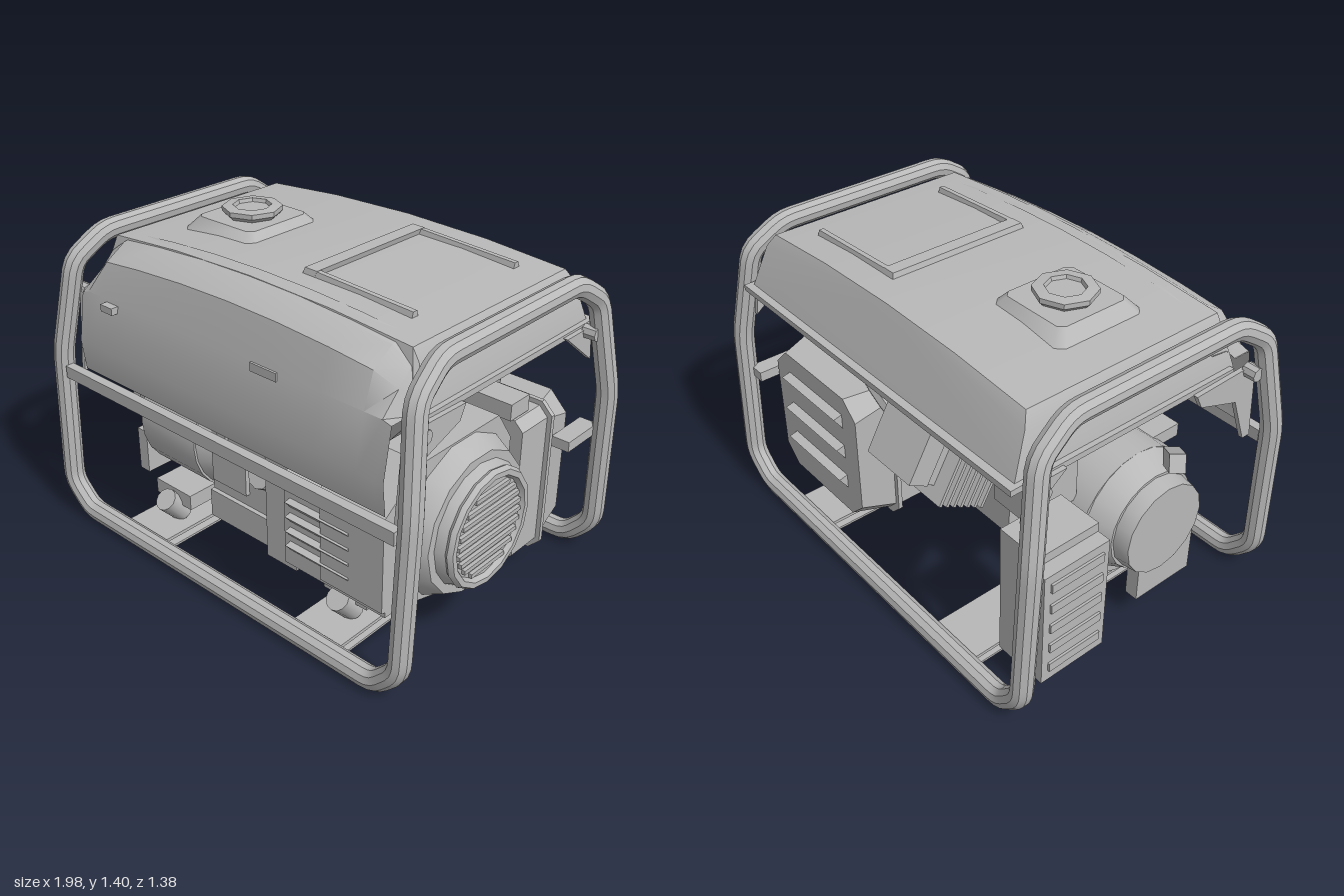
import * as THREE from 'three';
import { toCreasedNormals } from 'three/addons/utils/BufferGeometryUtils.js';
import { ConvexGeometry } from 'three/addons/geometries/ConvexGeometry.js';

const grey = new THREE.MeshStandardMaterial({ color: 0xb8b8b8, side: THREE.DoubleSide });
grey.name = 'grey metal';

export function createModel() {
  const model = new THREE.Group();
  const V = (x, y, z) => new THREE.Vector3(x, y, z);

  function add(name, geo, parent = model) {
    const m = new THREE.Mesh(toCreasedNormals(geo, 0.6), grey);
    m.name = name;
    parent.add(m);
    return m;
  }
  // box given by its min and max on each axis
  function box(name, x0, x1, y0, y1, z0, z1, parent) {
    const g = new THREE.BoxGeometry(x1 - x0, y1 - y0, z1 - z0);
    g.translate((x0 + x1) / 2, (y0 + y1) / 2, (z0 + z1) / 2);
    return add(name, g, parent);
  }
  // cylinder lying along x
  function drum(name, x0, x1, r0, r1, y, z, sides = 20) {
    const g = new THREE.CylinderGeometry(r1, r0, x1 - x0, sides);
    g.rotateZ(-Math.PI / 2).translate((x0 + x1) / 2, y, z);
    return add(name, g);
  }
  // outline in (z, y), extruded along x
  function slab(name, pts, x0, x1) {
    const s = new THREE.Shape(pts.map(([z, y]) => new THREE.Vector2(-z, y)));
    const g = new THREE.ExtrudeGeometry(s, { depth: x1 - x0, bevelEnabled: false });
    g.rotateY(Math.PI / 2).translate(x0, 0, 0);
    return add(name, g);
  }
  const hull = (name, pts) => add(name, new ConvexGeometry(pts.map(p => V(...p))));
  // sheet between a grid of points
  function sheet(name, rows) {
    const n = rows[0].length, idx = [];
    for (let i = 0; i < rows.length - 1; i++) for (let j = 0; j < n - 1; j++) {
      const a = i * n + j, b = a + n;
      idx.push(a, a + 1, b, b, a + 1, b + 1);
    }
    const g = new THREE.BufferGeometry();
    g.setAttribute('position', new THREE.Float32BufferAttribute(rows.flat(2), 3));
    g.setIndex(idx);
    g.computeVertexNormals();
    return add(name, g);
  }

  // Tube frame: one closed loop with rounded bends
  const quarter = [[0.83, 0.055, 0.64], [0.94, 0.17, 0.645], [0.945, 0.8, 0.62], [0.895, 1.2, 0.555], [0.875, 1.295, 0.41]];
  const flip = (sx, sz) => quarter.map(([x, y, z]) => V(x * sx, y, z * sz));
  const loop = [...flip(1, 1), ...flip(1, -1).reverse(), ...flip(-1, -1), ...flip(-1, 1).reverse()];
  const path = new THREE.CurvePath();
  const toward = (a, b, d) => a.clone().add(b.clone().sub(a).setLength(d));
  loop.forEach((p, i) => {
    const prev = loop[(i + loop.length - 1) % loop.length], next = loop[(i + 1) % loop.length];
    const out = toward(p, next, 0.05);
    path.add(new THREE.QuadraticBezierCurve3(toward(p, prev, 0.05), p, out));
    path.add(new THREE.LineCurve3(out, toward(next, p, 0.05)));
  });
  add('tubeFrame', new THREE.TubeGeometry(path, 320, 0.045, 10, true));
  box('frontRail', -0.9, 0.9, 0.69, 0.745, 0.61, 0.65);

  // Floor channels with rubber mounts
  for (const x of [-0.5, 0.5]) {
    box('channelTop', x - 0.12, x + 0.12, 0.055, 0.07, -0.63, 0.63);
    for (const s of [-1, 1]) {
      box('channelWall', x + s * 0.07 - 0.008, x + s * 0.07 + 0.008, 0.015, 0.06, -0.63, 0.63);
      box('channelLip', x + s * 0.095 - 0.025, x + s * 0.095 + 0.025, 0.012, 0.022, -0.63, 0.63);
    }
    for (const [z, tilt] of [[0.46, 0.75], [-0.07, -0.75]]) {
      const m = add('rubberMount', new THREE.CylinderGeometry(0.05, 0.05, 0.13, 12));
      m.position.set(x + 0.02, 0.14, z);
      m.rotation.x = tilt;
    }
    box('mountBeam', x - 0.1, x + 0.12, 0.15, 0.22, -0.1, 0.45);
  }

  // Fuel tank: crowned upper shell, lower pan and rim
  const crown = x => 1.34 - 0.065 * x * x;
  const shell = [-0.77, -0.4, 0, 0.4, 0.77].flatMap(x => [[x, crown(x), 0.42], [x, crown(x), -0.5]]);
  for (const s of [-1, 1]) shell.push([s * 0.83, 1.07, 0.48], [s * 0.83, 1.07, -0.6], [s * 0.8, 1.25, 0.42], [s * 0.8, 1.25, -0.53]);
  hull('tankUpper', shell);
  box('tankRim', -0.85, 0.85, 1.055, 1.08, -0.63, 0.46);
  const pan = [];
  for (const s of [-1, 1]) pan.push([s * 0.81, 1.06, 0.44], [s * 0.81, 1.06, -0.57], [s * 0.72, 1.0, -0.5],
    [s * 0.66, 0.89, 0.39], [s * 0.66, 0.89, -0.12]);
  hull('tankPan', pan);

  // Filler pad and cap
  const pad = [];
  for (const [r, y] of [[0.2, 1.315], [0.155, 1.368]]) for (const [a, b] of [[1, 0.85], [0.85, 1]])
    for (const sx of [-1, 1]) for (const sz of [-1, 1]) pad.push([-0.41 + sx * a * r, y, sz * b * r * 1.05]);
  hull('fillerPad', pad);
  const cap = add('fuelCap', new THREE.LatheGeometry([[0, 1.36], [0.1, 1.36], [0.125, 1.385], [0.125, 1.405], [0.08, 1.41],
    [0.075, 1.395], [0, 1.395]].map(p => new THREE.Vector2(...p)), 8));
  cap.position.set(-0.41, 0, 0);

  // Raised border on the tank top
  const bar = (name, x0, x1, z0, z1) => hull(name, [x0, x1].flatMap(x => [z0, z1].flatMap(z =>
    [[x, crown(x) - 0.02, z], [x + (x < 0.3 ? 0.01 : 0), crown(x) + 0.02, z + (z === z0 ? 0.012 : -0.012)]])));
  bar('borderSide', 0.12, 0.18, -0.385, 0.27);
  bar('borderBack', 0.12, 0.64, -0.385, -0.34);
  bar('borderFront', 0.12, 0.64, 0.225, 0.27);

  // Front cowl: curved sheet that drops toward its ends
  const rows = [-0.82, -0.815, -0.78, -0.7, -0.5, -0.25, 0, 0.25, 0.5, 0.7, 0.78, 0.815, 0.82].map(x => {
    const a = Math.abs(x), top = a > 0.8 ? 1.16 : a > 0.75 ? 1.25 : 1.345 - 0.08 * a * a;
    const back = a > 0.75 ? 0.07 : 0;
    return [[x, top, 0.36], [x, top - 0.01, 0.44], [x, top - 0.07, 0.535 - back / 2],
      [x, Math.min(top - 0.07, 1.1), 0.58], [x, 0.88, 0.615], [x, 0.745, 0.6]];
  });
  sheet('frontCowl', rows);
  box('cowlSwitch', -0.66, -0.59, 1.06, 1.09, 0.57, 0.615);
  box('cowlLabelPlate', 0.17, 0.3, 1.07, 1.105, 0.582, 0.591);

  // Gussets and bolts that hold the tank to the hoops
  for (const s of [-1, 1]) {
    const x = s * 0.86;
    slab('gusset', [[0.56, 1.07], [0.24, 1.06], [0.27, 1.0], [0.47, 0.93], [0.55, 0.72], [0.59, 0.72]], x - 0.01, x + 0.01);
    slab('rearGusset', [[-0.4, 1.07], [-0.57, 1.07], [-0.59, 0.92]], x - 0.01, x + 0.01);
    for (const z of [0.52, -0.54]) drum('tankBolt', Math.min(x, s * 0.92), Math.max(x, s * 0.92), 0.03, 0.03, 1.06, z, 8);
  }

  // Engine: shroud, recoil starter and grille
  slab('engineShroud', [[0.58, 0.31], [0.58, 0.71], [0.38, 0.85], [-0.08, 0.85], [-0.17, 0.72], [-0.17, 0.36], [0.0, 0.24],
    [0.2, 0.2]], 0.5, 0.8);
  const cy = 0.52, cz = 0.14;
  drum('fanHousing', 0.8, 0.88, 0.33, 0.29, cy, cz, 14);
  drum('starterCover', 0.88, 0.93, 0.255, 0.235, cy, cz, 16);
  const ring = add('starterRing', new THREE.TorusGeometry(0.225, 0.022, 6, 16));
  ring.rotation.y = Math.PI / 2;
  ring.position.set(0.93, cy, cz);
  for (let i = -4; i <= 4; i++) {
    const y = cy + i * 0.04, w = Math.sqrt(0.19 ** 2 - (i * 0.04) ** 2);
    box('grilleBar', 0.925, 0.945, y - 0.009, y + 0.009, cz - w, cz + w);
  }
  box('crankcase', -0.3, 0.52, 0.22, 0.64, -0.16, 0.38);
  box('crankcaseTop', -0.22, 0.5, 0.62, 0.83, -0.12, 0.28);
  box('oilPan', -0.3, 0.1, 0.14, 0.27, -0.1, 0.4);
  for (let i = 0; i < 6; i++) box('oilPanRib', -0.3, 0.1, 0.125, 0.145, -0.07 + i * 0.08, -0.04 + i * 0.08);
  box('controlPlate', -0.28, -0.08, 0.33, 0.5, 0.38, 0.4);
  box('controlSwitch', -0.25, -0.2, 0.53, 0.57, 0.38, 0.395);
  const knob = add('oilFiller', new THREE.CylinderGeometry(0.06, 0.07, 0.1, 10));
  knob.position.set(0.06, 0.5, 0.41);
  knob.rotation.x = 1.1;

  // Front air box with louvres
  box('airBox', 0.3, 0.8, 0.28, 0.69, 0.36, 0.56);
  box('airBoxEdge', 0.14, 0.3, 0.2, 0.69, 0.36, 0.5);
  for (let i = 0; i < 5; i++) hull('airLouvre', [0.33, 0.64].flatMap(x =>
    [[x, 0.35 + i * 0.065, 0.56], [x, 0.39 + i * 0.065, 0.56], [x, 0.385 + i * 0.065, 0.59]]));

  // Finned cylinder leaning back
  const head = new THREE.Group();
  head.name = 'cylinderHead';
  head.position.set(-0.02, 0.5, -0.12);
  head.rotation.x = -1.05;
  model.add(head);
  box('cylinderCore', -0.13, 0.13, 0, 0.36, -0.12, 0.12, head);
  for (let i = 0; i < 7; i++) box('coolingFin', -0.2, 0.19, 0.03 + i * 0.04, 0.045 + i * 0.04, -0.18, 0.18, head);
  box('valveCover', -0.14, 0.14, 0.33, 0.43, -0.12, 0.12, head);
  drum('carburettor', -0.46, -0.2, 0.09, 0.09, 0.68, -0.2, 12);
  box('intakeElbow', -0.62, -0.42, 0.6, 0.8, -0.34, -0.1);

  // Alternator
  drum('alternatorBody', -0.7, -0.36, 0.29, 0.29, 0.46, cz, 24);
  drum('alternatorFlange', -0.38, -0.28, 0.29, 0.24, 0.46, cz, 24);
  drum('alternatorBell', -0.8, -0.7, 0.22, 0.27, 0.48, cz, 20);
  drum('alternatorEnd', -0.87, -0.8, 0.2, 0.21, 0.48, cz, 16);
  box('alternatorLug', -0.62, -0.5, 0.63, 0.69, 0.3, 0.46);
  box('alternatorBracket', -0.84, -0.78, 0.13, 0.34, 0.05, 0.35);

  // Rear exhaust box: two chamfered halves, louvres, tailpipe
  const chamfer = (x0, x1, y0, y1, c, z) => [[x0 + c, y0], [x1 - c, y0], [x1, y0 + c], [x1, y1 - c], [x1 - c, y1], [x0 + c, y1],
    [x0, y1 - c], [x0, y0 + c]].map(([x, y]) => [x, y, z]);
  hull('exhaustInner', [...chamfer(0.2, 0.84, 0.13, 0.78, 0.04, -0.19), ...chamfer(0.2, 0.84, 0.13, 0.78, 0.04, -0.36)]);
  hull('exhaustSeam', [...chamfer(0.18, 0.86, 0.11, 0.8, 0.05, -0.36), ...chamfer(0.18, 0.86, 0.11, 0.8, 0.05, -0.38)]);
  hull('exhaustOuter', [...chamfer(0.2, 0.84, 0.13, 0.78, 0.05, -0.38), ...chamfer(0.22, 0.82, 0.15, 0.76, 0.08, -0.54)]);
  for (let i = 0; i < 3; i++) hull('exhaustLouvre', [0.32, 0.72].flatMap(x =>
    [[x, 0.28 + i * 0.16, -0.54], [x, 0.35 + i * 0.16, -0.54], [x, 0.34 + i * 0.16, -0.58]]));
  box('exhaustStay', 0.84, 0.92, 0.59, 0.635, -0.62, -0.41);
  box('exhaustTopGuard', 0.25, 0.8, 0.79, 0.86, -0.28, -0.16);
  const pipe = new THREE.CatmullRomCurve3([V(0.1, 0.62, -0.35), V(0.22, 0.78, -0.4), V(0.4, 0.86, -0.38), V(0.6, 0.82, -0.32)]);
  add('exhaustPipe', new THREE.TubeGeometry(pipe, 16, 0.045, 8));

  // Ribbed side air cleaner and fuel valve on the right end
  box('airCleaner', -0.88, -0.68, 0.13, 0.74, -0.53, -0.24);
  box('airCleanerCover', -0.94, -0.88, 0.17, 0.7, -0.55, -0.24);
  for (let i = 0; i < 5; i++) box('airCleanerRib', -0.95, -0.94, 0.22 + i * 0.1, 0.26 + i * 0.1, -0.52, -0.27);
  const valve = add('fuelValve', new THREE.BoxGeometry(0.16, 0.07, 0.06));
  valve.position.set(-0.91, 0.87, 0.1);
  valve.rotation.set(0, -0.7, -0.5);

  return model;
}
